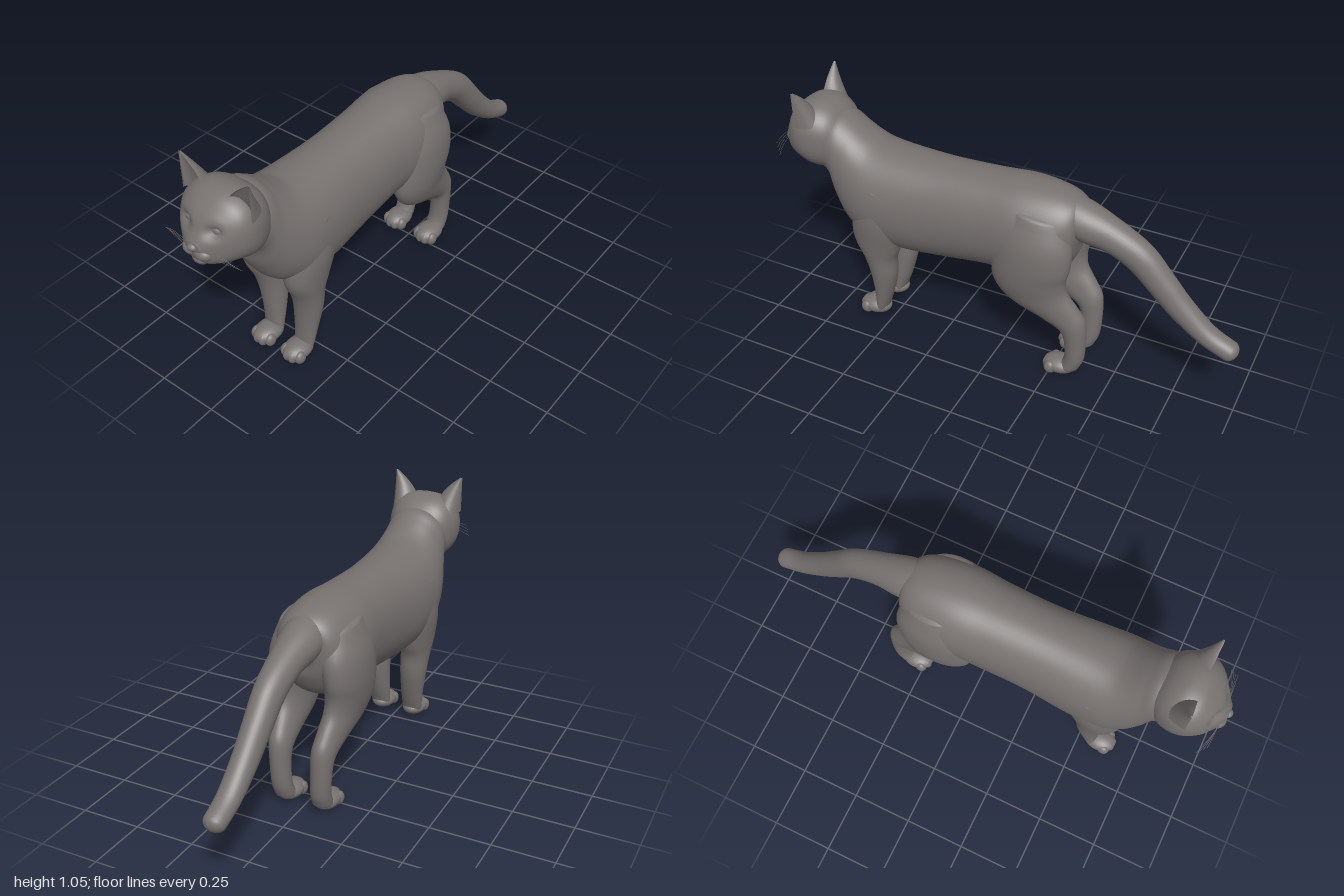
import * as THREE from 'three';

const fur = new THREE.MeshStandardMaterial({ color: 0x777270 });
fur.name = 'greyFur';

// Closed smooth skin over equal-length rings of points; winding is made outward.
function skin(name, rings) {
  const n = rings[0].length, idx = [];
  const pts = rings.flat();
  for (let i = 0; i < rings.length - 1; i++) {
    for (let j = 0; j < n; j++) {
      const a = i * n + j, b = i * n + (j + 1) % n;
      idx.push(a, b, a + n, b, b + n, a + n);
    }
  }
  let volume = 0;
  const c = new THREE.Vector3();
  for (let i = 0; i < idx.length; i += 3) {
    volume += pts[idx[i]].dot(c.crossVectors(pts[idx[i + 1]], pts[idx[i + 2]]));
  }
  if (volume < 0) idx.reverse();
  const g = new THREE.BufferGeometry().setFromPoints(pts);
  g.setIndex(idx);
  g.computeVertexNormals();
  const mesh = new THREE.Mesh(g, fur);
  mesh.name = name;
  return mesh;
}

// Loft through sections [z1, y1, z2, y2, halfWidth, centreX]: two opposite
// edge points in the side plane and a width across x. Ends are domed.
function loft(name, sections, { dome = 0.02, steps = 5, seg = 36, power = 2, warp = null } = {}) {
  const curve = f => new THREE.CatmullRomCurve3(sections.map(f), false, 'catmullrom', 0.5);
  const edgeA = curve(s => new THREE.Vector3(0, s[1], s[0]));
  const edgeB = curve(s => new THREE.Vector3(0, s[3], s[2]));
  const width = curve(s => new THREE.Vector3(s[5] || 0, s[4], 0));
  const N = (sections.length - 1) * steps, frames = [];
  for (let i = 0; i <= N; i++) {
    const a = edgeA.getPoint(i / N), b = edgeB.getPoint(i / N), w = width.getPoint(i / N);
    const centre = a.clone().add(b).multiplyScalar(0.5).setX(w.x);
    frames.push({ centre, v: a.sub(b).multiplyScalar(0.5), w: w.y });
  }
  const ring = (f, k = 1, shift = null) => Array.from({ length: seg }, (_, j) => {
    const t = j / seg * Math.PI * 2, c = Math.cos(t), s = Math.sin(t), e = 2 / power;
    const p = f.centre.clone().addScaledVector(f.v, k * Math.sign(s) * Math.abs(s) ** e);
    p.x += k * f.w * Math.sign(c) * Math.abs(c) ** e;
    if (shift) p.add(shift);
    if (warp) warp(p);
    return p;
  });
  const cap = (f, near) => {
    const d = f.centre.clone().sub(near.centre).normalize();
    return [1, 2, 3, 4, 5].map(i => {
      const q = i / 5 * Math.PI / 2;
      return ring(f, Math.max(Math.cos(q), 0.001), d.clone().multiplyScalar(dome * Math.sin(q)));
    });
  };
  return skin(name, [...cap(frames[0], frames[1]).reverse(), ...frames.map(f => ring(f)),
    ...cap(frames[N], frames[N - 1])]);
}

function ellipsoid(name, pos, radii) {
  const m = new THREE.Mesh(new THREE.SphereGeometry(1, 28, 18), fur);
  m.name = name;
  m.position.set(...pos);
  m.scale.set(...radii);
  return m;
}

// Paw: rounded foot with four soft toes
function paw(name, x, z) {
  const g = new THREE.Group();
  g.name = name;
  g.add(ellipsoid('foot', [x, 0.04, z], [0.053, 0.036, 0.07]));
  for (let i = 0; i < 4; i++) {
    const o = (i - 1.5) / 1.5;
    g.add(ellipsoid('toe', [x + o * 0.036, 0.034, z + 0.046 - 0.016 * o * o], [0.02, 0.029, 0.026]));
  }
  return g;
}

// Ear: pointed cup with a hollow front
function ear(side) {
  const rings = [];
  for (let i = 0; i <= 20; i++) {
    const t = i / 20, w = 0.054 * (1 - t * t) + 0.003, d = 0.085 * (1 - t) + 0.006;
    rings.push(Array.from({ length: 32 }, (_, j) => {
      const q = j / 32 * Math.PI * 2, s = Math.sin(q);
      const z = 0.856 - (s > 0 ? 0.4 : 1) * d * Math.abs(s);
      return new THREE.Vector3(side * (0.157 - w + w * Math.cos(q)), 0.9 + 0.153 * t, z);
    }));
  }
  return skin(side > 0 ? 'leftEar' : 'rightEar', rings);
}

function whisker(side, i) {
  const y = 0.772 + i * 0.008;
  const path = new THREE.QuadraticBezierCurve3(
    new THREE.Vector3(side * 0.04, y, 0.97),
    new THREE.Vector3(side * 0.1, y + 0.015 + i * 0.003, 0.965),
    new THREE.Vector3(side * (0.175 - i * 0.008), 0.762 + i * 0.012, 0.935 + i * 0.009));
  const m = new THREE.Mesh(new THREE.TubeGeometry(path, 12, 0.0008, 4), fur);
  m.name = 'whisker';
  return m;
}

export function createModel() {
  const cat = new THREE.Group();
  cat.name = 'cat';

  // Torso and neck, from rump to throat
  cat.add(loft('torso', [
    [-0.34, 0.76, -0.325, 0.62, 0.06], [-0.31, 0.805, -0.31, 0.55, 0.115],
    [-0.23, 0.832, -0.25, 0.47, 0.155], [-0.1, 0.842, -0.1, 0.43, 0.175],
    [0.05, 0.832, 0.05, 0.42, 0.167], [0.25, 0.823, 0.25, 0.39, 0.167],
    [0.42, 0.823, 0.42, 0.375, 0.18], [0.54, 0.832, 0.56, 0.385, 0.185],
    [0.6, 0.855, 0.67, 0.45, 0.17], [0.66, 0.895, 0.73, 0.55, 0.148],
    [0.71, 0.925, 0.76, 0.65, 0.135], [0.78, 0.93, 0.84, 0.7, 0.12],
  ], { seg: 56, steps: 6, power: 2.15 }));

  // Tail, drooping backwards
  cat.add(loft('tail', [
    [-0.2, 0.825, -0.27, 0.66, 0.08], [-0.32, 0.806, -0.35, 0.635, 0.085],
    [-0.45, 0.757, -0.44, 0.617, 0.068], [-0.6, 0.675, -0.53, 0.565, 0.059],
    [-0.7, 0.567, -0.62, 0.48, 0.054], [-0.78, 0.475, -0.71, 0.395, 0.05],
    [-0.88, 0.38, -0.83, 0.31, 0.047], [-0.968, 0.335, -0.933, 0.262, 0.044],
  ], { dome: 0.034 }));

  // Head with sunken eye sockets
  const sockets = p => {
    if (p.z < 0.85) return;
    for (const s of [-1, 1]) {
      const r = ((p.x - s * 0.06) / 0.03) ** 2 + ((p.y - 0.868) / 0.022) ** 2;
      p.z -= 0.022 * Math.exp(-r);
    }
  };
  cat.add(loft('head', [
    [0.7, 0.9, 0.72, 0.73, 0.1], [0.75, 0.952, 0.76, 0.692, 0.138],
    [0.81, 0.976, 0.82, 0.688, 0.156], [0.87, 0.967, 0.87, 0.705, 0.15],
    [0.915, 0.935, 0.92, 0.715, 0.12], [0.945, 0.9, 0.948, 0.722, 0.088],
    [0.968, 0.855, 0.965, 0.732, 0.06], [0.982, 0.83, 0.975, 0.75, 0.04],
  ], { seg: 72, steps: 10, power: 2.4, dome: 0.008, warp: sockets }));

  // Face details
  cat.add(ellipsoid('nose', [0, 0.806, 0.98], [0.02, 0.016, 0.02]));
  cat.add(ellipsoid('chin', [0, 0.74, 0.948], [0.036, 0.024, 0.03]));

  for (const s of [-1, 1]) {
    const side = s > 0 ? 'left' : 'right';
    cat.add(ellipsoid(side + 'Eye', [s * 0.06, 0.868, 0.912], [0.026, 0.02, 0.024]));
    cat.add(ellipsoid(side + 'Muzzle', [s * 0.026, 0.779, 0.958], [0.038, 0.027, 0.033]));
    cat.add(ear(s));
    for (let i = 0; i < 4; i++) cat.add(whisker(s, i));

    // Front leg, from shoulder to ankle
    cat.add(loft(side + 'FrontLeg', [
      [0.6, 0.7, 0.42, 0.68, 0.075, s * 0.1], [0.64, 0.55, 0.41, 0.53, 0.08, s * 0.106],
      [0.65, 0.43, 0.44, 0.4, 0.071, s * 0.1], [0.61, 0.33, 0.465, 0.33, 0.064, s * 0.094],
      [0.59, 0.25, 0.472, 0.24, 0.059, s * 0.089], [0.58, 0.15, 0.5, 0.13, 0.051, s * 0.082],
      [0.577, 0.06, 0.53, 0.045, 0.045, s * 0.078],
    ]));
    cat.add(paw(side + 'FrontPaw', s * 0.077, 0.59));

    // Hind leg, from haunch over the hock to the ankle
    cat.add(loft(side + 'HindLeg', [
      [-0.06, 0.77, -0.29, 0.74, 0.07, s * 0.085], [-0.01, 0.66, -0.325, 0.64, 0.088, s * 0.104],
      [0.002, 0.54, -0.325, 0.55, 0.083, s * 0.115], [-0.005, 0.43, -0.31, 0.48, 0.075, s * 0.113],
      [-0.07, 0.345, -0.318, 0.42, 0.063, s * 0.106], [-0.2, 0.285, -0.36, 0.355, 0.052, s * 0.098],
      [-0.285, 0.24, -0.393, 0.295, 0.046, s * 0.093], [-0.308, 0.18, -0.398, 0.2, 0.042, s * 0.09],
      [-0.31, 0.1, -0.392, 0.1, 0.042, s * 0.086], [-0.29, 0.05, -0.372, 0.045, 0.043, s * 0.083],
    ]));
    cat.add(paw(side + 'HindPaw', s * 0.082, -0.288));
  }
  return cat;
}
